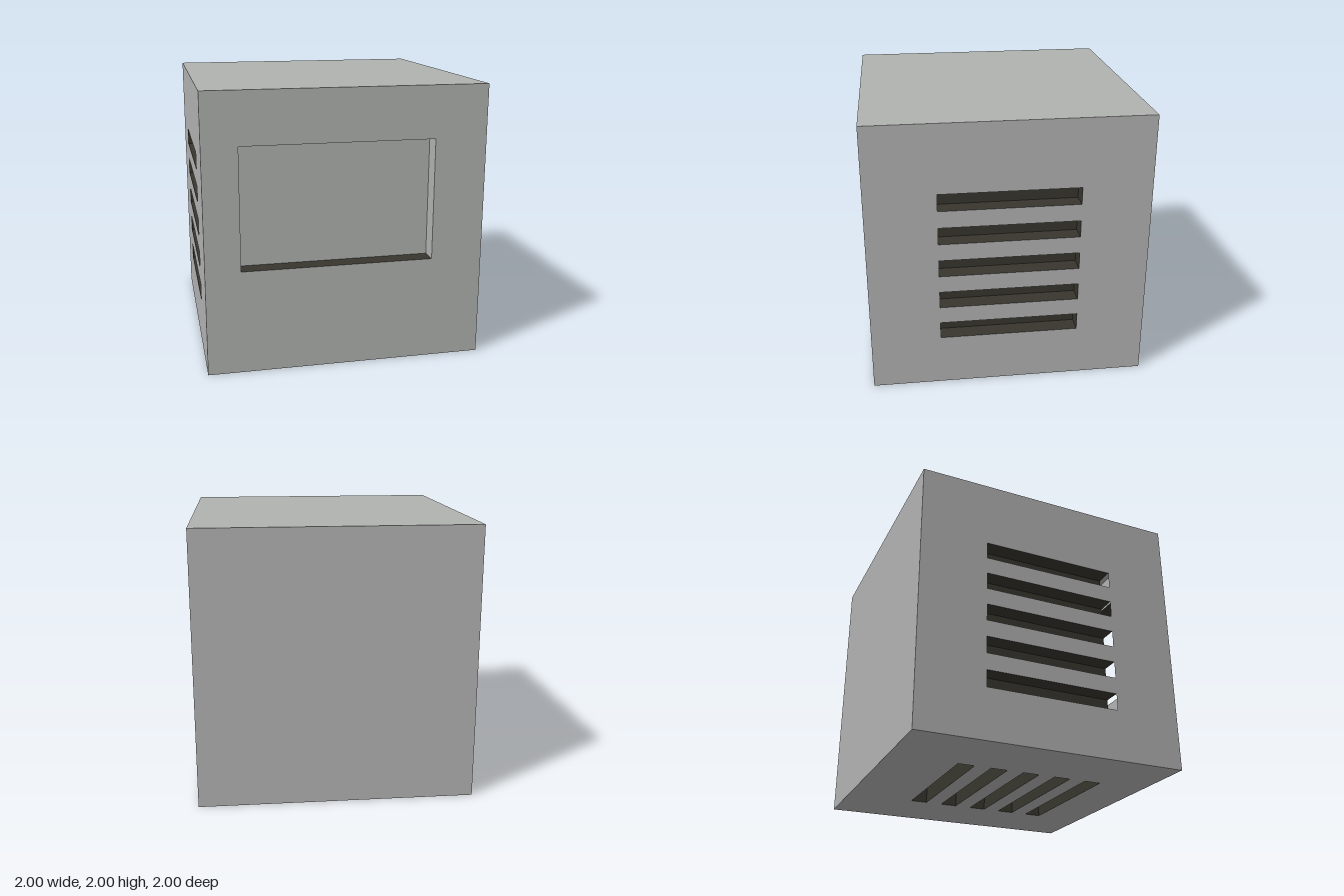
import * as THREE from 'three';

const WALL = 0.125;
const casing = new THREE.MeshStandardMaterial({ color: 0xb0b2b0 });
casing.name = 'casing grey';
const dark = new THREE.MeshStandardMaterial({ color: 0x37352d });
dark.name = 'vent dark brown';

function add(group, name, geometry, material) {
  const mesh = new THREE.Mesh(geometry, material);
  mesh.name = name;
  group.add(mesh);
}

// Square sheet with rectangular holes
function sheet(half, holes) {
  const s = new THREE.Shape([[-half, -half], [half, -half], [half, half], [-half, half]]
    .map(([x, y]) => new THREE.Vector2(x, y)));
  for (const { x0, x1, y0, y1 } of holes) {
    s.holes.push(new THREE.Path([[x0, y0], [x0, y1], [x1, y1], [x1, y0]]
      .map(([x, y]) => new THREE.Vector2(x, y))));
  }
  return new THREE.ShapeGeometry(s);
}

// One cube wall, facing local +z: outer skin, inner skin and a recess per hole
function wall(name, rotation, holes = []) {
  const g = new THREE.Group();
  g.name = name;
  add(g, 'outerSkin', sheet(1, holes).translate(0, 0, 1), casing);
  const mirrored = holes.map((h) => ({ x0: -h.x1, x1: -h.x0, y0: h.y0, y1: h.y1 }));
  add(g, 'innerSkin', sheet(1 - WALL, mirrored).rotateY(Math.PI).translate(0, 0, 1 - WALL), casing);
  for (const { x0, x1, y0, y1, back, ends, open } of holes) {
    const w = x1 - x0, h = y1 - y0, cx = (x0 + x1) / 2, cy = (y0 + y1) / 2, cz = 1 - WALL / 2;
    add(g, 'recessBack', new THREE.PlaneGeometry(w, h).translate(cx, cy, 1 - WALL), back);
    add(g, 'recessFloor', new THREE.PlaneGeometry(w, WALL).rotateX(-Math.PI / 2).translate(cx, y0, cz), dark);
    add(g, 'recessCeiling', new THREE.PlaneGeometry(w, WALL).rotateX(Math.PI / 2).translate(cx, y1, cz), dark);
    for (const side of [-1, 1]) {
      if (side === open) continue;
      add(g, 'recessEnd', new THREE.PlaneGeometry(WALL, h).rotateY(-side * Math.PI / 2)
        .translate(side < 0 ? x0 : x1, cy, cz), ends);
    }
  }
  g.rotation.set(...rotation);
  return g;
}

// Five evenly spaced vent slots; open = end that leads into the cavity
function vents(start, open) {
  return Array.from({ length: 5 }, (_, i) => ({
    x0: -0.5, x1: 0.5, y0: start + i * 0.25, y1: start + i * 0.25 + 0.125,
    back: dark, ends: dark, open,
  }));
}

export function createModel() {
  const model = new THREE.Group();
  model.name = 'ventedCabinet';
  const q = Math.PI / 2;
  const screen = { x0: -0.75, x1: 0.625, y0: -0.25, y1: 0.625, back: casing, ends: casing };
  model.add(
    wall('frontWall', [0, 0, 0], [screen]),
    wall('backWall', [0, Math.PI, 0]),
    wall('leftWall', [0, q, 0], vents(-0.625, -1)),
    wall('rightWall', [0, -q, 0], vents(-0.625, 1)),
    wall('topWall', [-q, 0, 0]),
    wall('bottomWall', [q, 0, 0], vents(-0.5)),
  );
  for (const w of model.children) w.position.y = 1;
  return model;
}
